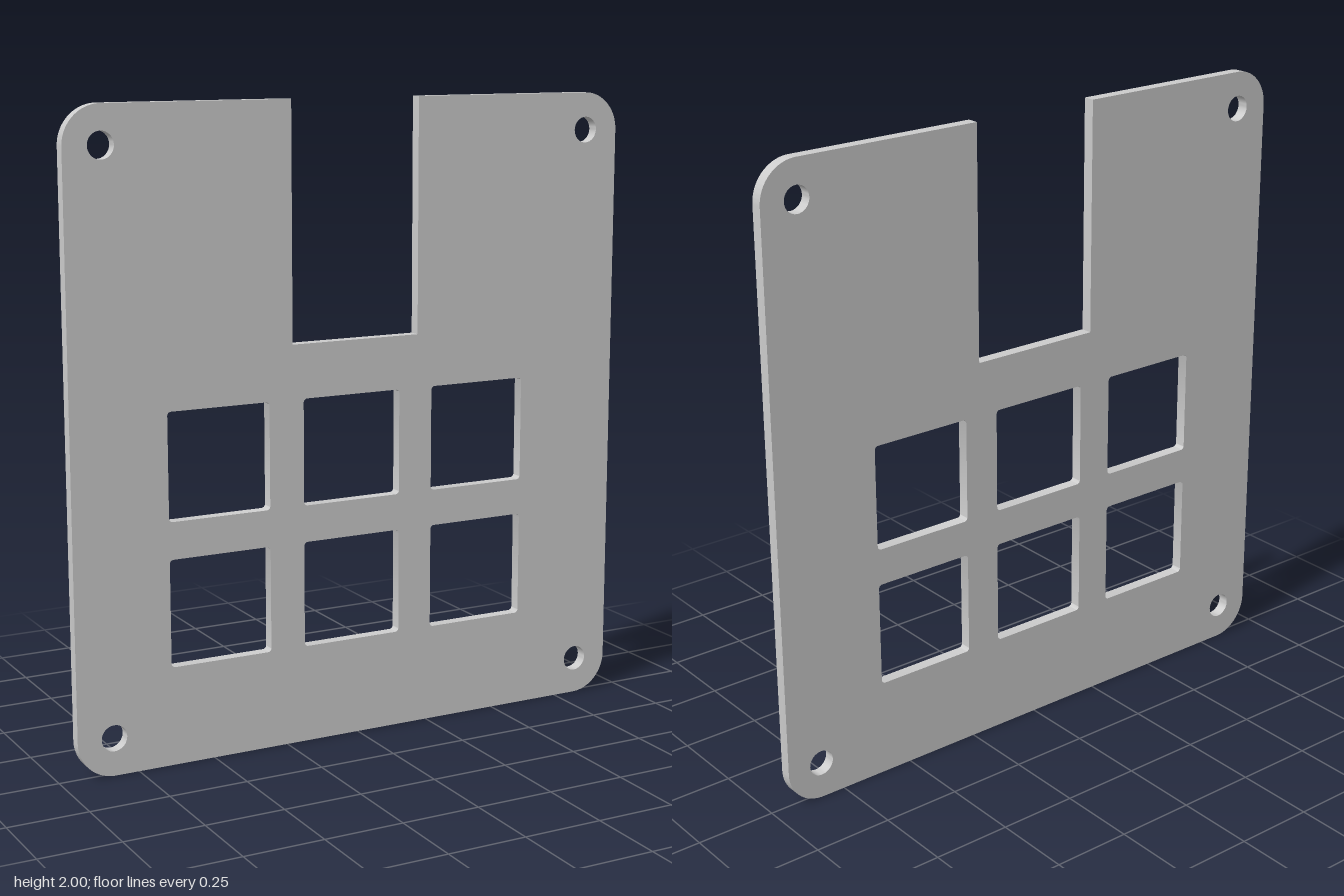
import * as THREE from 'three';
import { toCreasedNormals } from 'three/addons/utils/BufferGeometryUtils.js';

const HALF_W = 0.945, HEIGHT = 2, THICK = 0.037, CORNER = 0.12;

// Rounded square window, centred on (x, y)
function windowHole(x, y, size, r) {
  const h = size / 2 - r;
  const p = new THREE.Path();
  p.absarc(x + h, y + h, r, 0, Math.PI / 2);
  p.absarc(x - h, y + h, r, Math.PI / 2, Math.PI);
  p.absarc(x - h, y - h, r, Math.PI, Math.PI * 1.5);
  p.absarc(x + h, y - h, r, Math.PI * 1.5, Math.PI * 2);
  p.closePath();
  return p;
}

function screwHole(x, y, r) {
  return new THREE.Path().absarc(x, y, r, 0, Math.PI * 2);
}

export function createModel() {
  const group = new THREE.Group();
  group.name = 'switchPlate';

  // Outline: rounded corners with a slot open at the top
  const cx = HALF_W - CORNER, top = HEIGHT - CORNER;
  const outline = new THREE.Shape();
  outline.moveTo(-cx, 0);
  outline.absarc(cx, CORNER, CORNER, -Math.PI / 2, 0);
  outline.absarc(cx, top, CORNER, 0, Math.PI / 2);
  outline.lineTo(0.212, HEIGHT);
  outline.lineTo(0.212, 1.265);
  outline.lineTo(-0.224, 1.265);
  outline.lineTo(-0.224, HEIGHT);
  outline.absarc(-cx, top, CORNER, Math.PI / 2, Math.PI);
  outline.absarc(-cx, CORNER, CORNER, Math.PI, Math.PI * 1.5);

  // Two rows of three key windows
  for (const y of [0.477, 0.928])
    for (const x of [-0.471, -0.02, 0.431])
      outline.holes.push(windowHole(x, y, 0.335, 0.012));

  // Screw holes in the four corners
  for (const x of [-0.828, 0.828])
    for (const y of [0.118, 1.882])
      outline.holes.push(screwHole(x, y, 0.041));

  const geometry = new THREE.ExtrudeGeometry(outline, {
    depth: THICK, bevelEnabled: false, curveSegments: 16,
  });
  geometry.translate(0, 0, -THICK / 2);

  const plate = new THREE.Mesh(
    toCreasedNormals(geometry, 0.6),
    new THREE.MeshStandardMaterial({ color: 0xcccccc }),
  );
  plate.name = 'plate';
  group.add(plate);
  return group;
}
